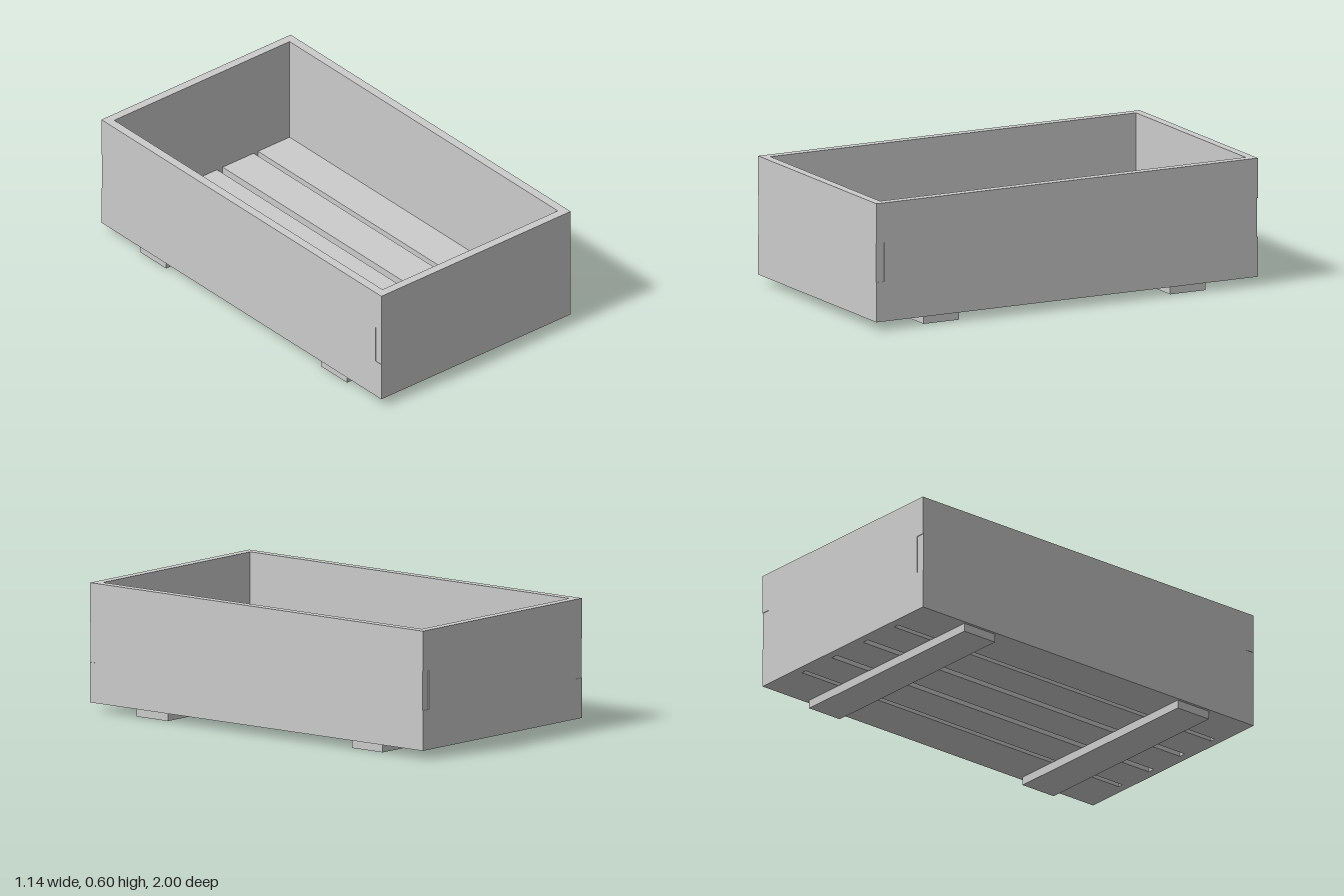
import * as THREE from 'three';

const material = new THREE.MeshStandardMaterial({ color: 0xcccccc, flatShading: true });

// Box given by its lower and upper limits on each axis
function board(name, [x0, x1], [y0, y1], [z0, z1]) {
  const mesh = new THREE.Mesh(new THREE.BoxGeometry(x1 - x0, y1 - y0, z1 - z0), material);
  mesh.position.set((x0 + x1) / 2, (y0 + y1) / 2, (z0 + z1) / 2);
  mesh.name = name;
  return mesh;
}

export function createModel() {
  const crate = new THREE.Group();
  crate.name = 'woodenCrate';

  const W = 0.57, L = 1, T = 0.042; // half width, half length, board thickness
  const rows = [[0.04, 0.228], [0.228, 0.412], [0.412, 0.6]];

  // Walls of three stacked boards, interlocked at the corners
  rows.forEach((y, i) => {
    const middle = i === 1;
    const row = new THREE.Group();
    row.name = ['bottomWallRow', 'middleWallRow', 'topWallRow'][i];
    const sideZ = middle ? [-L + 0.004, L - T] : [-L + T, L];
    const frontX = middle ? W - 0.002 : W - T;
    const backX = middle ? W - T : W;
    row.add(
      board('leftWallBoard', [W - T, W], y, sideZ),
      board('rightWallBoard', [-W, -W + T], y, sideZ),
      board('frontWallBoard', [-frontX, frontX], y, [L - T, L]),
      board('backWallBoard', [-backX, backX], y, [-L, -L + T]),
    );
    crate.add(row);
  });

  // Floor slats with gaps between them
  const floor = new THREE.Group();
  floor.name = 'floor';
  const slats = [[-0.53, -0.343], [-0.317, -0.13], [-0.096, 0.091], [0.125, 0.312], [0.338, 0.53]];
  for (const x of slats) floor.add(board('floorSlat', x, [0.04, 0.08], [-L + T, L - T]));
  crate.add(floor);

  // Cross runners under the floor
  crate.add(
    board('frontRunner', [-0.557, 0.546], [0, 0.04], [0.553, 0.74]),
    board('backRunner', [-0.557, 0.546], [0, 0.04], [-0.738, -0.553]),
  );
  return crate;
}
